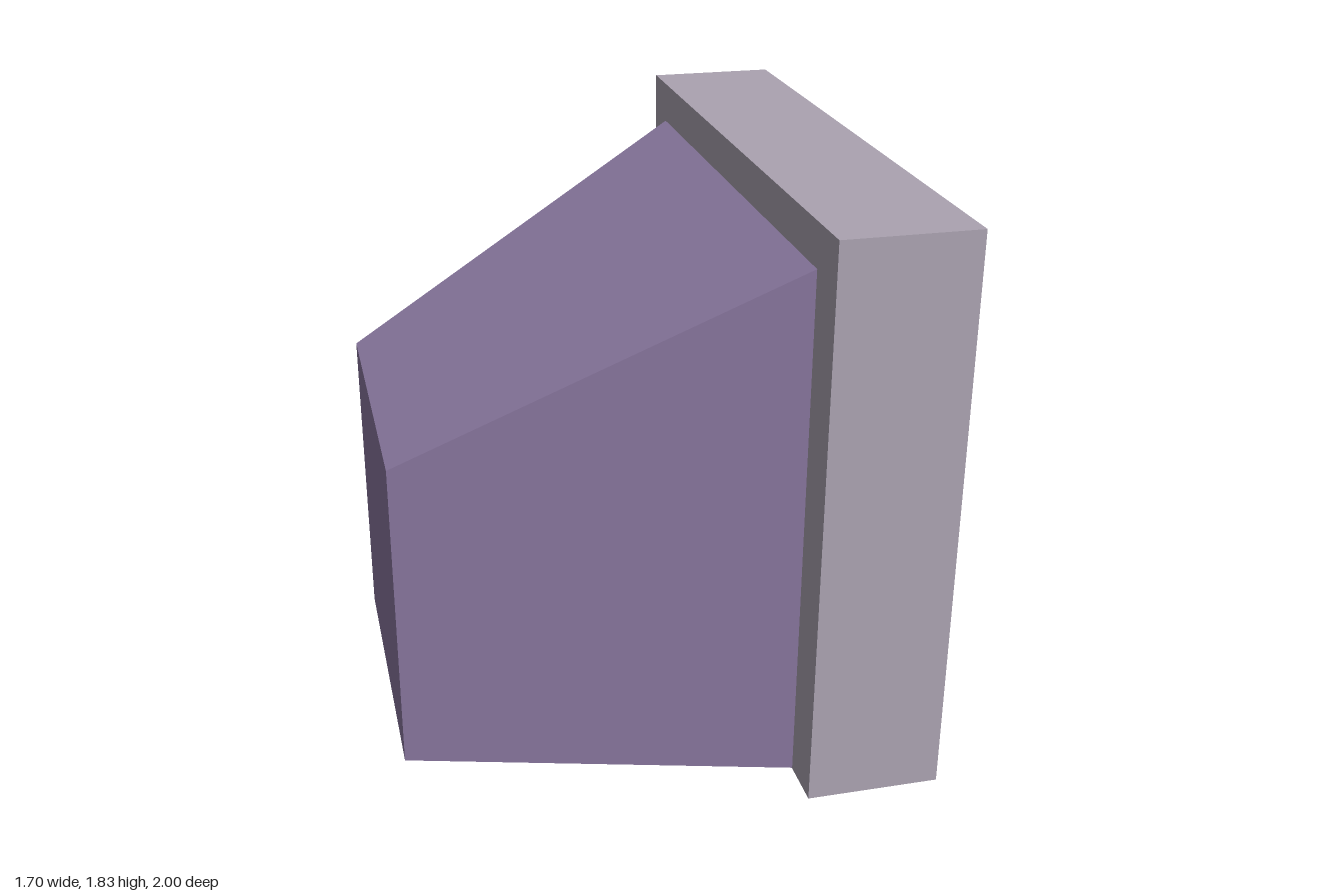
import * as THREE from 'three';

const material = (name, color) => {
  const m = new THREE.MeshStandardMaterial({ color });
  m.name = name;
  return m;
};

// Rectangular cross-section at x, corners counter-clockwise seen from +x
const ring = (x, y0, y1, zRight, zLeft) =>
  [[x, y0, zLeft], [x, y0, zRight], [x, y1, zRight], [x, y1, zLeft]];

// Flat-sided skin running through a list of cross-sections
function loft(rings) {
  const points = [];
  for (let r = 0; r < rings.length - 1; r++) {
    const a = rings[r], b = rings[r + 1];
    for (let i = 0; i < 4; i++) {
      const j = (i + 1) % 4;
      points.push(...a[i], ...a[j], ...b[j], ...a[i], ...b[j], ...b[i]);
    }
  }
  const geometry = new THREE.BufferGeometry();
  geometry.setAttribute('position', new THREE.Float32BufferAttribute(points, 3));
  geometry.computeVertexNormals();
  return geometry;
}

export function createModel() {
  const group = new THREE.Group();
  const grey = material('bezelGrey', 0xaba3b1);
  const purple = material('housingPurple', 0x8a78a0);
  const black = material('screenBlack', 0x1b1b1b);
  const plum = material('controlPlum', 0x311d32);
  plum.flatShading = true;

  const add = (name, geometry, mat, x = 0, y = 0, z = 0) => {
    const mesh = new THREE.Mesh(geometry, mat);
    mesh.name = name;
    mesh.position.set(x, y, z);
    group.add(mesh);
  };

  // Rear housing, tapering towards the back, with its flat end panel
  const neck = ring(0.354, 0.002, 1.69, -0.853, 0.84);
  add('rearHousing', loft([ring(-0.85, 0, 1.042, -0.528, 0.515), neck]), purple);
  const panel = new THREE.PlaneGeometry(1.043, 1.042);
  panel.rotateY(-Math.PI / 2);
  add('rearPanel', panel, purple, -0.85, 0.521, -0.0065);

  // Thick bezel: back rim, outer sides, front rim and recess walls
  add('bezel', loft([
    neck,
    ring(0.354, 0, 1.826, -1, 1),
    ring(0.78, 0, 1.826, -1, 1),
    ring(0.78, 0.436, 1.664, -0.791, 0.794),
    ring(0.588, 0.436, 1.664, -0.791, 0.794),
  ]), grey);

  // Recessed screen, gently domed
  const screen = new THREE.PlaneGeometry(1.585, 1.228, 12, 12);
  const sp = screen.attributes.position;
  for (let i = 0; i < sp.count; i++) {
    const u = sp.getX(i) / 0.7925, v = sp.getY(i) / 0.614;
    sp.setZ(i, 0.035 * (1 - u * u) * (1 - v * v));
  }
  screen.rotateY(Math.PI / 2);
  screen.computeVertexNormals();
  add('screen', screen, black, 0.588, 1.05, 0.0015);

  // Row of nine-sided knobs under the screen
  [0.588, 0.22, -0.148, -0.516].forEach((z, i) => {
    const knob = new THREE.CylinderGeometry(0.089, 0.089, 0.07, 9);
    knob.rotateZ(-Math.PI / 2);
    knob.rotateX(i * 0.5);
    add('knob' + (i + 1), knob, plum, 0.815, 0.2, z);
  });

  // Small bar above the knobs
  add('controlBar', new THREE.BoxGeometry(0.04, 0.044, 0.34), plum, 0.793, 0.371, 0.031);

  return group;
}
